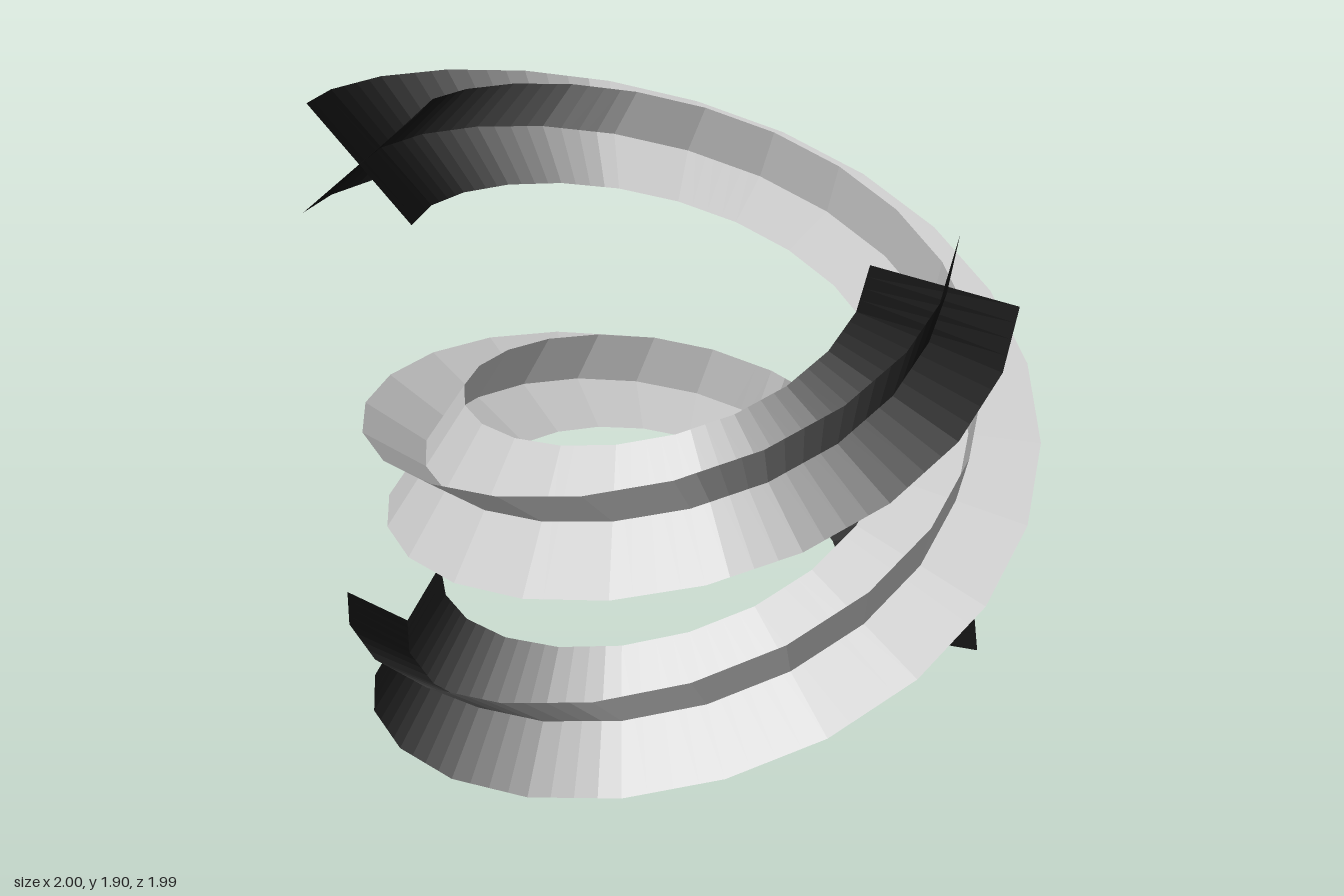
import * as THREE from 'three';

const SEGMENTS = 23;
const BANDS = 4; // shade steps within one segment
const ROWS = SEGMENTS * BANDS;
const ARM = 0.204; // half width of every ribbon
const CENTRE_X = -0.012;
const RAD = Math.PI / 180;

// Both edge points of a ribbon at one cross-section; the frame rolls slowly along the path
function crossSection({ radius, start, y0, rise, roll }, quarter, i) {
  const t = i / SEGMENTS;
  const step = 2 * Math.PI / SEGMENTS;
  const pitch = Math.atan2(rise, 2 * Math.PI * radius);
  const a = start * RAD + i * step;
  const centre = new THREE.Vector3(radius * Math.cos(a) + CENTRE_X, y0 + rise * t, -radius * Math.sin(a));

  // the two end sections face along their only neighbouring segment
  const turn = i === 0 ? step / 2 : i === SEGMENTS ? -step / 2 : 0;
  const f = a + turn;
  const out = new THREE.Vector3(Math.cos(f), 0, -Math.sin(f));
  const lift = new THREE.Vector3(Math.sin(f) * Math.sin(pitch), Math.cos(pitch), Math.cos(f) * Math.sin(pitch));
  const angle = (roll + quarter * 90) * RAD + t * 2 * Math.PI * Math.sin(pitch);
  const arm = out.multiplyScalar(Math.cos(angle)).addScaledVector(lift, Math.sin(angle));
  return [-ARM, ARM].map((s) => centre.clone().addScaledVector(arm, s));
}

// One flat ribbon swept along a rising full turn, with one material per band
function ribbon(spec, quarter, materials) {
  const geometry = new THREE.PlaneGeometry(1, 1, 1, ROWS);
  const pos = geometry.attributes.position;
  const sections = Array.from({ length: SEGMENTS + 1 }, (_, i) => crossSection(spec, quarter, i));
  for (let row = 0; row <= ROWS; row++) {
    const i = Math.min(Math.floor(row / BANDS), SEGMENTS - 1);
    const blend = row / BANDS - i;
    for (let side = 0; side < 2; side++) {
      const p = sections[i][side].clone().lerp(sections[i + 1][side], blend);
      pos.setXYZ(row * 2 + side, p.x, p.y, p.z);
    }
  }
  geometry.clearGroups();
  for (let row = 0; row < ROWS; row++) geometry.addGroup(row * 6, 6, row);
  geometry.computeVertexNormals();
  return new THREE.Mesh(geometry, materials);
}

// Grey in the middle of the path, fading to near black at both ends
function fadeMaterials() {
  return Array.from({ length: ROWS }, (_, row) => {
    const t = (row + 0.5) / ROWS;
    const fade = THREE.MathUtils.smoothstep(Math.min(t, 1 - t), 0.03, 0.25);
    const grey = THREE.MathUtils.lerp(0.06, 0.8, fade);
    const color = new THREE.Color().setRGB(grey, grey, grey, THREE.SRGBColorSpace);
    return new THREE.MeshStandardMaterial({ color, flatShading: true, side: THREE.DoubleSide });
  });
}

export function createModel() {
  const group = new THREE.Group();
  const materials = fadeMaterials();

  // Two intertwined spirals, each made of two crossed ribbons
  const spirals = {
    outerSpiral: { radius: 0.819, start: 190.5, y0: 0.2, rise: 1.56, roll: 34 },
    innerSpiral: { radius: 0.717, start: 0, y0: 0.2, rise: 1.245, roll: -16 },
  };
  for (const [name, spec] of Object.entries(spirals)) {
    const spiral = new THREE.Group();
    spiral.name = name;
    ['finRibbon', 'wallRibbon'].forEach((part, quarter) => {
      const mesh = ribbon(spec, quarter, materials);
      mesh.name = part;
      spiral.add(mesh);
    });
    group.add(spiral);
  }
  return group;
}
